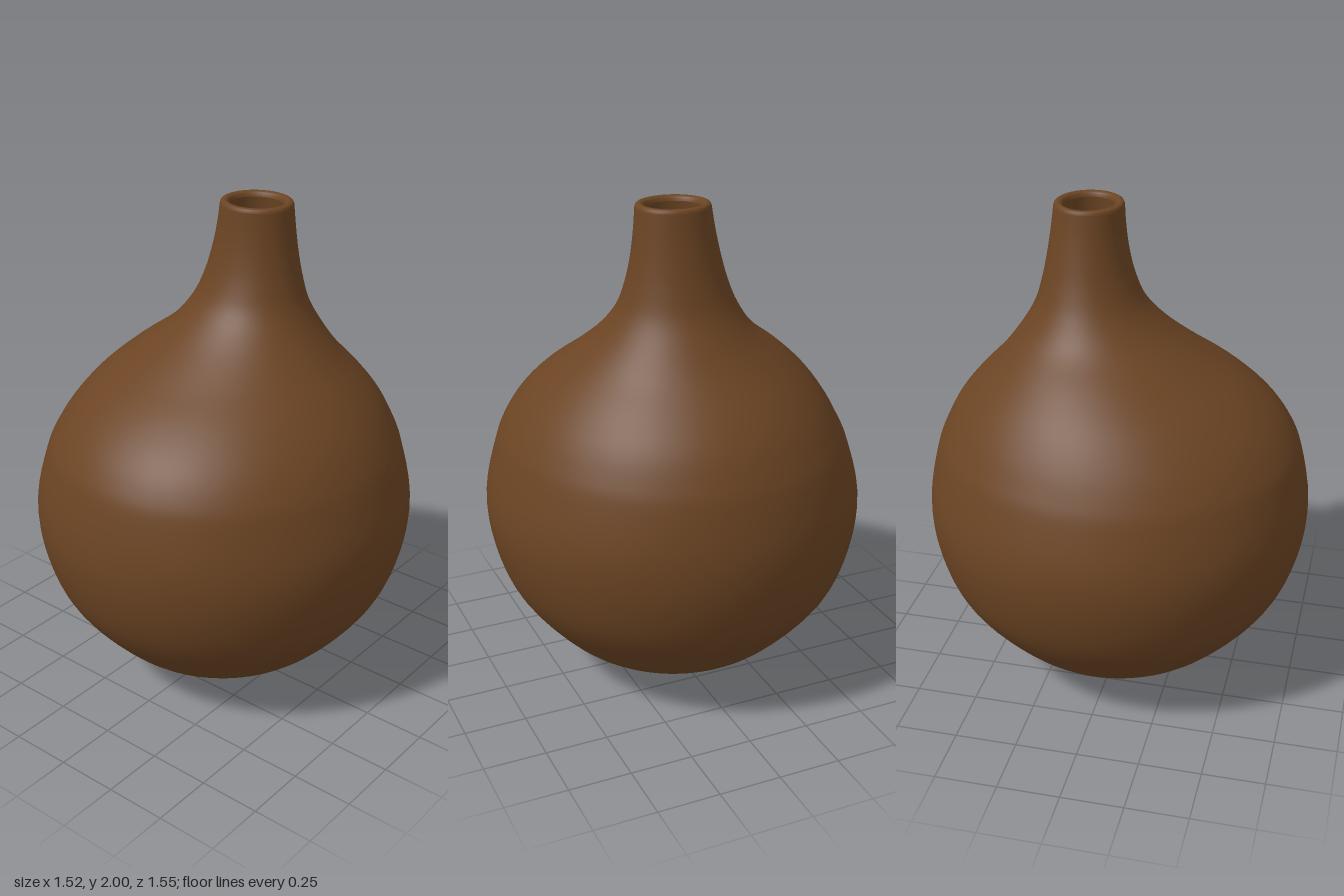
import * as THREE from 'three';

// Outer cross-sections, bottom to top: [y, xMin, xMax, zMin, zMax]
const outer = [
  [0, -0.012, -0.008, -0.002, 0.002],
  [0.015, -0.11, 0.09, -0.1, 0.1],
  [0.045, -0.23, 0.215, -0.225, 0.225],
  [0.1, -0.36, 0.35, -0.36, 0.36],
  [0.2, -0.5, 0.495, -0.505, 0.505],
  [0.4, -0.665, 0.66, -0.68, 0.675],
  [0.6, -0.74, 0.737, -0.757, 0.755],
  [0.8, -0.757, 0.756, -0.775, 0.775],
  [1.0, -0.705, 0.71, -0.74, 0.74],
  [1.1, -0.66, 0.67, -0.703, 0.7],
  [1.2, -0.6, 0.61, -0.65, 0.625],
  [1.3, -0.52, 0.525, -0.57, 0.505],
  [1.4, -0.41, 0.42, -0.475, 0.345],
  [1.5, -0.28, 0.33, -0.4, 0.2],
  [1.6, -0.205, 0.268, -0.342, 0.1],
  [1.7, -0.16, 0.236, -0.312, 0.052],
  [1.8, -0.13, 0.216, -0.292, 0.025],
  [1.9, -0.107, 0.204, -0.277, 0.01],
  [1.985, -0.093, 0.197, -0.267, 0.004],
];
const inset = ([y, x0, x1, z0, z1], t, newY = y) => [newY, x0 + t, x1 - t, z0 + t, z1 - t];

// Skin a stack of elliptical sections, smoothed along its length
function skin(sections, perSpan, around) {
  const radii = new THREE.CatmullRomCurve3(sections.map(([y, a, b, c, d]) =>
    new THREE.Vector3((b - a) / 2, y, (d - c) / 2)), false, 'catmullrom');
  const centres = new THREE.CatmullRomCurve3(sections.map(([y, a, b, c, d]) =>
    new THREE.Vector3((a + b) / 2, y, (c + d) / 2)), false, 'catmullrom');
  const rows = (sections.length - 1) * perSpan;
  const positions = [], index = [];
  for (let j = 0; j <= rows; j++) {
    const r = radii.getPoint(j / rows), c = centres.getPoint(j / rows);
    for (let i = 0; i < around; i++) {
      const a = (i / around) * Math.PI * 2;
      positions.push(c.x + r.x * Math.cos(a), Math.max(0, r.y), c.z + r.z * Math.sin(a));
      if (j === rows) continue;
      const p = j * around + i, q = j * around + (i + 1) % around;
      index.push(p, p + around, q, q, p + around, q + around);
    }
  }
  const geometry = new THREE.BufferGeometry();
  geometry.setAttribute('position', new THREE.Float32BufferAttribute(positions, 3));
  geometry.setIndex(index);
  geometry.computeVertexNormals();
  return geometry;
}

export function createModel() {
  const group = new THREE.Group();
  group.name = 'gourdVessel';
  const material = new THREE.MeshStandardMaterial({ color: 0x6b4423, side: THREE.DoubleSide });
  const add = (name, geometry) => {
    const mesh = new THREE.Mesh(geometry, material);
    mesh.name = name;
    group.add(mesh);
  };

  // Round belly flowing into the off-centre neck
  add('outerShell', skin(outer, 4, 96));

  // Rounded lip around the mouth
  const top = outer[outer.length - 1];
  const lip = [
    top, inset(top, 0.005, 1.996), inset(top, 0.018, 2),
    inset(top, 0.031, 1.994), inset(top, 0.037, 1.98),
  ];
  add('lip', skin(lip, 3, 96));

  // Hollow inside, following the shell down to the floor
  const cavity = [
    lip[lip.length - 1],
    ...outer.slice(4, -1).reverse().map((s) => inset(s, 0.037)),
    inset(outer[3], 0.05, 0.12), inset(outer[2], 0.05, 0.075), inset(outer[0], 0.001, 0.05),
  ];
  add('cavity', skin(cavity, 3, 64));
  return group;
}
